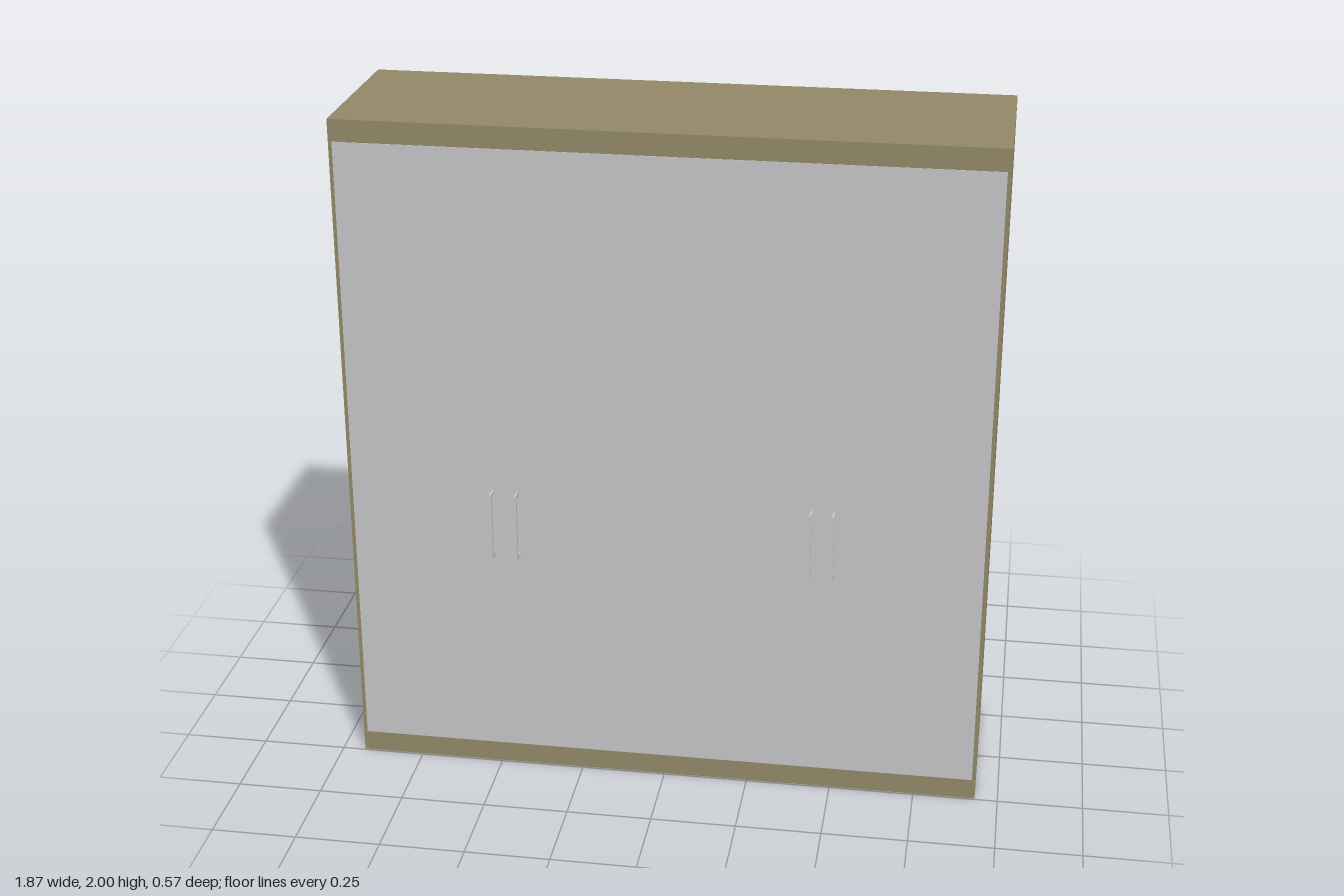
import * as THREE from 'three';

export function createModel() {
  const model = new THREE.Group();
  model.name = 'wardrobe';

  const wood = new THREE.MeshStandardMaterial({ color: 0x948a68 });
  wood.name = 'olive wood';
  const grey = new THREE.MeshStandardMaterial({ color: 0xc7c7c9 });
  grey.name = 'light grey';

  const add = (name, geometry, material, x, y, z) => {
    const mesh = new THREE.Mesh(geometry, material);
    mesh.name = name;
    mesh.position.set(x, y, z);
    model.add(mesh);
  };

  // Carcass: wooden sides, top and front frame; grey underside and back
  const back = -0.285, front = 0.245;
  add('carcass', new THREE.BoxGeometry(1.866, 2, front - back),
    [wood, wood, wood, grey, wood, grey], 0, 1, (front + back) / 2);

  // Four thin doors side by side, almost flush with the frame
  const doorWidth = 0.461;
  const doorGeometry = new THREE.BoxGeometry(doorWidth, 1.872, 0.004);
  for (let i = 0; i < 4; i++) {
    add('door' + (i + 1), doorGeometry, grey, (i - 1.5) * doorWidth, 1, front);
  }

  // Square bow handle: a U outline in the z-y plane, extruded along x
  const low = 0.705, high = 0.91, reach = 0.038, bar = 0.01, width = 0.007;
  const outline = new THREE.Shape([
    [0, low], [reach, low], [reach, high], [0, high],
    [0, high - bar], [reach - bar, high - bar], [reach - bar, low + bar], [0, low + bar],
  ].map(([z, y]) => new THREE.Vector2(z, y)));
  const handleGeometry = new THREE.ExtrudeGeometry(outline, { depth: width, bevelEnabled: false });
  handleGeometry.translate(0, 0, -width / 2);
  handleGeometry.rotateY(-Math.PI / 2);

  // One handle on each door, in pairs around the two meeting edges
  [-0.502, -0.429, 0.426, 0.491].forEach((x, i) => {
    add('handle' + (i + 1), handleGeometry, grey, x, 0, front);
  });

  return model;
}
